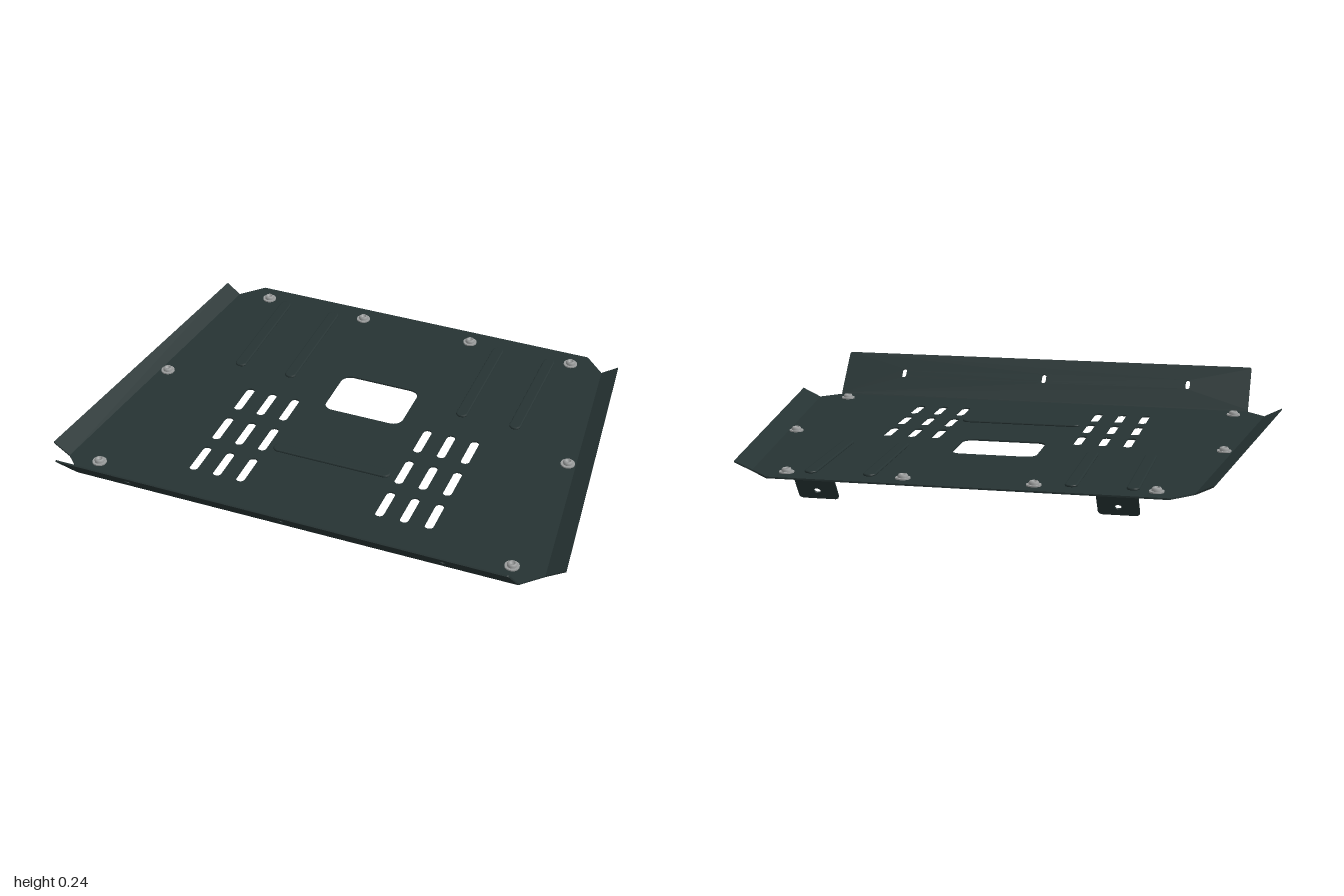
import * as THREE from 'three';

const T = 0.006;      // sheet thickness
const TOP = 0.085;    // upper face of the main plate

// Rounded rectangle traced on a Shape or Path
function roundRect(p, cx, cy, w, h, r) {
  const x = cx - w / 2, y = cy - h / 2, H = Math.PI / 2;
  p.moveTo(x + r, y);
  p.absarc(x + w - r, y + r, r, -H, 0);
  p.absarc(x + w - r, y + h - r, r, 0, H);
  p.absarc(x + r, y + h - r, r, H, 2 * H);
  p.absarc(x + r, y + r, r, 2 * H, 3 * H);
  p.closePath();
  return p;
}
const hole = (...a) => roundRect(new THREE.Path(), ...a);
const panel = (...a) => roundRect(new THREE.Shape(), ...a);
const polygon = pts => new THREE.Shape(pts.map(([x, y]) => new THREE.Vector2(x, y)));

function sheet(shape, depth = T) {
  return new THREE.ExtrudeGeometry(shape, { depth, bevelEnabled: false, curveSegments: 8 });
}

// Sheet lying flat: shape y becomes z, thickness goes down from y = top
function flat(shape, top, depth = T) {
  return sheet(shape, depth).rotateX(Math.PI / 2).translate(0, top, 0);
}

// x of the side fold line at a given z
const foldX = z => 0.79 + (z + 0.69) * 0.1125;

export function createModel() {
  const group = new THREE.Group();
  const steel = new THREE.MeshStandardMaterial({ color: 0x263333 });
  steel.name = 'dark painted steel';
  const zinc = new THREE.MeshStandardMaterial({ color: 0x9a9c9c });
  zinc.name = 'zinc grey';

  function add(name, geometry, material = steel, parent = group) {
    const mesh = new THREE.Mesh(geometry, material);
    mesh.name = name;
    parent.add(mesh);
    return mesh;
  }

  // Main plate with access opening and vent slots
  const half = [[0.71, -0.775], [0.79, -0.69], [0.93, 0.555], [0.857, 0.627]];
  const plate = polygon([...half, ...half.map(([x, z]) => [-x, z]).reverse()]);
  plate.holes.push(hole(0, -0.187, 0.32, 0.235, 0.04));
  for (const s of [-1, 1])
    for (const x of [0.275, 0.37, 0.465])
      for (const z of [-0.01, 0.192, 0.392])
        plate.holes.push(hole(s * x, z, 0.034, 0.147, 0.0165));
  add('mainPlate', flat(plate, TOP));

  // Front flange, folded up and forward
  const rise = 0.155, run = 0.142, length = Math.hypot(rise, run);
  const flange = panel(0, length / 2, 1.716, length, 0.008);
  for (const x of [-0.603, 0, 0.603])
    flange.holes.push(hole(x, length * 0.55, 0.018, 0.042, 0.0088));
  add('frontFlange', sheet(flange)
    .rotateX(Math.PI / 2 - Math.atan2(rise, run))
    .translate(0, TOP, 0.627));

  for (const s of [-1, 1]) {
    const side = s > 0 ? 'left' : 'right';

    // Side flange: flat strip whose outer edge is lifted past the fold
    const strip = polygon([[0.79, -0.69], [0.852, -0.705], [1.0, 0.545], [0.93, 0.555]]
      .map(([x, z]) => [s * x, z]));
    const geo = flat(strip, TOP);
    const p = geo.attributes.position;
    for (let i = 0; i < p.count; i++) {
      const d = Math.max(0, Math.abs(p.getX(i)) - foldX(p.getZ(i)));
      p.setY(i, p.getY(i) + d * 0.52);
    }
    geo.computeVertexNormals();
    add(side + 'SideFlange', geo);

    // Rear mounting tab, folded down and forward
    const drop = 0.08, back = 0.057, len = Math.hypot(drop, back);
    const w = 0.0725, r = 0.016;
    const tab = new THREE.Shape();
    tab.moveTo(-w, 0);
    tab.lineTo(w, 0);
    tab.absarc(w - r, len - r, r, 0, Math.PI / 2);
    tab.absarc(-w + r, len - r, r, Math.PI / 2, Math.PI);
    tab.closePath();
    tab.holes.push(hole(0, len * 0.57, 0.024, 0.024, 0.0118));
    add(side + 'RearTab', sheet(tab)
      .rotateX(Math.atan2(back, -drop))
      .translate(s * 0.533, TOP - 0.001, -0.77));

    // Long stiffening ribs
    for (const x of [0.36, 0.575])
      add(side + 'Rib', rib(s * x, -0.453, 0.046, 0.495));
  }
  add('crossRib', rib(0, 0.229, 0.47, 0.046));

  // Bolts with washer, socket head and stub below the plate
  const head = [[0.0001, 0.009], [0.008, 0.009], [0.009, 0.017], [0.014, 0.017], [0.018, 0.012], [0.018, 0.004]]
    .map(([x, y]) => new THREE.Vector2(x, y)).reverse();
  const headGeo = new THREE.LatheGeometry(head.reverse(), 16);
  // outward-facing lathe needs the profile running upwards
  const outward = new THREE.LatheGeometry([...head].reverse(), 16);
  headGeo.dispose();
  const washerGeo = new THREE.CylinderGeometry(0.027, 0.027, 0.005, 20).translate(0, 0.0025, 0);
  const stubGeo = new THREE.CylinderGeometry(0.008, 0.008, 0.01, 10).translate(0, -0.005, 0);
  for (const s of [-1, 1])
    for (const [x, z] of [[0.658, -0.702], [0.233, -0.702], [0.828, -0.075], [0.807, 0.55]]) {
      const bolt = new THREE.Group();
      bolt.name = 'bolt';
      bolt.position.set(s * x, TOP, z);
      add('washer', washerGeo, zinc, bolt);
      add('boltHead', outward, zinc, bolt);
      add('boltStub', stubGeo, steel, bolt);
      group.add(bolt);
    }

  return group;
}

// Raised pressed rib with a softened edge
function rib(x, z, w, h) {
  const b = 0.005;
  const shape = panel(x, z, w - 2 * b, h - 2 * b, (0.046 - 2 * b) / 2 - 0.0005);
  return new THREE.ExtrudeGeometry(shape, {
    depth: 0.002, bevelEnabled: true, bevelSize: b, bevelThickness: 0.004, bevelSegments: 2, curveSegments: 8,
  }).rotateX(Math.PI / 2).translate(0, TOP + 0.004, 0);
}
